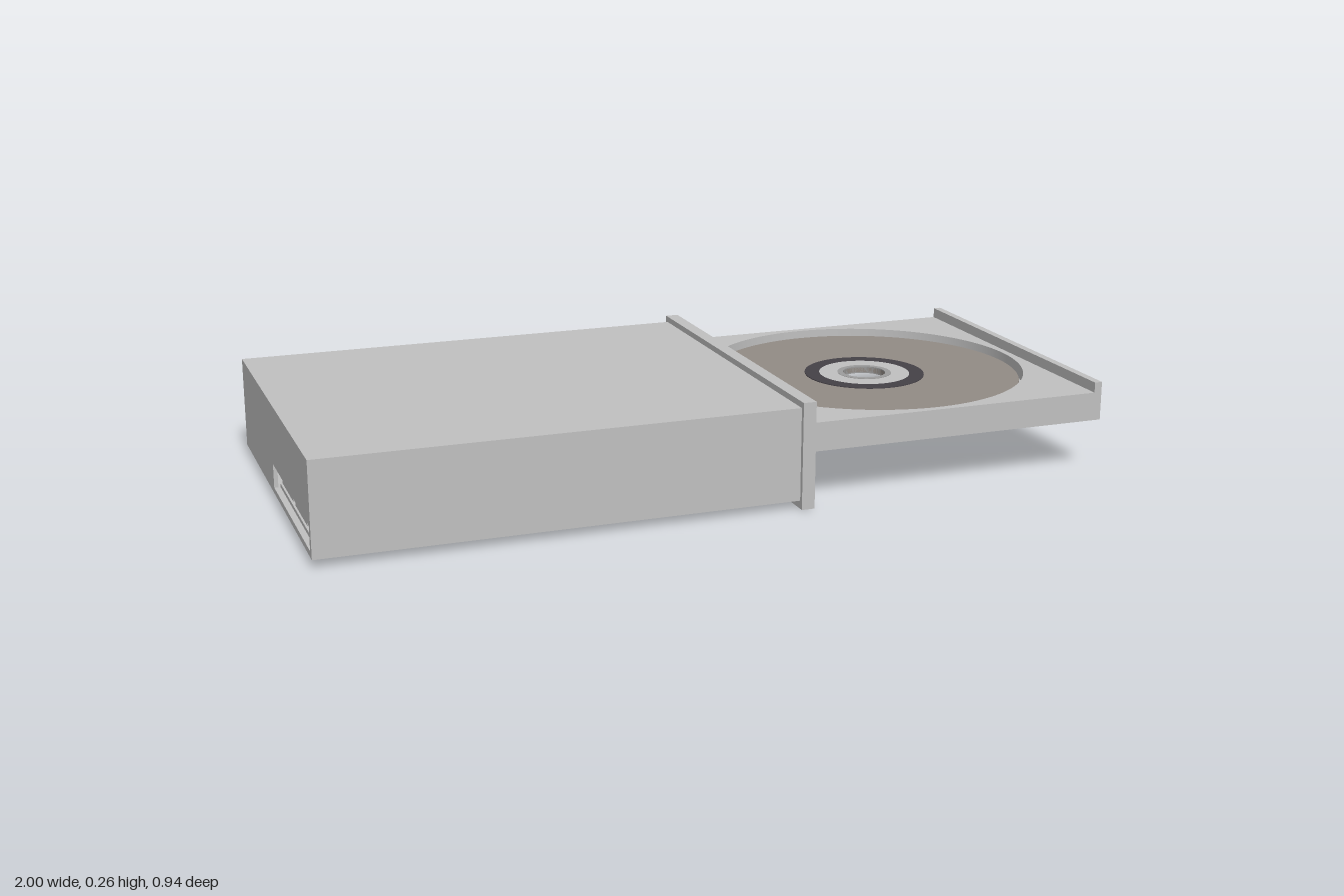
import * as THREE from 'three';
import { toCreasedNormals } from 'three/addons/utils/BufferGeometryUtils.js';

const mat = (name, color) => {
  const m = new THREE.MeshStandardMaterial({ color });
  m.name = name;
  return m;
};

// Rectangle outline, usable as a shape or a hole
function rect(x0, x1, y0, y1, Type = THREE.Shape) {
  const s = new Type();
  s.moveTo(x0, y0);
  s.lineTo(x1, y0);
  s.lineTo(x1, y1);
  s.lineTo(x0, y1);
  s.closePath();
  return s;
}

function circle(x, r, Type = THREE.Shape) {
  const s = new Type();
  s.absarc(x, 0, r, 0, Math.PI * 2, false);
  return s;
}

export function createModel() {
  const model = new THREE.Group();
  model.name = 'discDrive';
  const grey = mat('lightGrey', 0xc0c0c0);
  const discGrey = mat('discGrey', 0x928b85);
  const dark = mat('darkBand', 0x454147);
  const hubGrey = mat('hubGrey', 0x9c9c9c);

  const add = (name, geometry, material) => {
    const m = new THREE.Mesh(geometry, material);
    m.name = name;
    model.add(m);
    return m;
  };
  const box = (name, x0, x1, y0, y1, z0, z1, material = grey) => {
    const m = add(name, new THREE.BoxGeometry(x1 - x0, y1 - y0, z1 - z0), material);
    m.position.set((x0 + x1) / 2, (y0 + y1) / 2, (z0 + z1) / 2);
  };
  const extrude = (shape, depth) => new THREE.ExtrudeGeometry(shape, { depth, bevelEnabled: false, curveSegments: 64 });
  // Horizontal plate: shape drawn in (x, -z), thickness from y0 to y1
  const plateY = (name, shape, y0, y1, material = grey) => {
    const g = extrude(shape, y1 - y0).rotateX(-Math.PI / 2).translate(0, y0, 0);
    add(name, toCreasedNormals(g, 0.6), material);
  };
  // Upright plate: shape drawn in (-z, y), thickness from x0 to x1
  const plateX = (name, shape, x0, x1, material = grey) => {
    add(name, extrude(shape, x1 - x0).rotateY(Math.PI / 2).translate(x0, 0, 0), material);
  };

  // Case: hollow sleeve with a rear panel cut for the sockets
  const sleeve = rect(-0.457, 0.457, 0.02, 0.25);
  sleeve.holes.push(rect(-0.445, 0.445, 0.032, 0.238, THREE.Path));
  plateX('caseSleeve', sleeve, -0.99, 0.17);
  const back = rect(-0.457, 0.457, 0.02, 0.25);
  back.holes.push(rect(-0.44, 0.03, 0.035, 0.095, THREE.Path));
  plateX('rearPanel', back, -1, -0.99);

  // Sockets set back inside the rear opening
  box('socketBoard', -0.985, -0.8, 0.035, 0.045, -0.03, 0.44);
  box('socketBack', -0.93, -0.92, 0.035, 0.12, -0.05, 0.445);
  for (const [z0, z1] of [[-0.03, 0.12], [0.15, 0.3], [0.33, 0.44]]) {
    box('socket', -0.98, -0.92, 0.045, 0.065, z0, z1);
  }

  // Bezel with the tray opening, eject button and lamp
  const bezel = rect(-0.468, 0.468, 0, 0.265);
  bezel.holes.push(rect(-0.435, 0.435, 0.126, 0.23, THREE.Path));
  plateX('bezel', bezel, 0.167, 0.2);
  box('ejectButton', 0.19, 0.207, 0.05, 0.07, -0.41, -0.346);
  box('lamp', 0.195, 0.203, 0.056, 0.064, -0.264, -0.241);

  // Tray: recessed top, floor with pickup slot, hollow underside
  const cx = 0.55;
  const trayBack = 0.06;
  const top = rect(trayBack, 0.98, -0.432, 0.432);
  top.holes.push(circle(cx, 0.412, THREE.Path));
  plateY('trayTop', top, 0.165, 0.202);
  const floor = rect(trayBack, 0.98, -0.432, 0.432);
  const slot = new THREE.Path();
  slot.moveTo(0.12, -0.17);
  slot.lineTo(cx, -0.17);
  slot.absarc(cx, 0, 0.17, -Math.PI / 2, Math.PI / 2, false);
  slot.lineTo(0.12, 0.17);
  slot.closePath();
  floor.holes.push(slot);
  plateY('trayFloor', floor, 0.157, 0.165);
  for (const s of [-1, 1]) {
    const z = s * 0.422;
    box('traySideWall', trayBack, 0.98, 0.13, 0.157, z - 0.01, z + 0.01);
  }
  box('trayRearWall', trayBack, trayBack + 0.02, 0.13, 0.157, -0.412, 0.412);
  box('trayFront', 0.98, 1, 0.13, 0.228, -0.432, 0.432);

  // Disc with inner bands on both faces
  const ring = (name, r0, r1, y0, y1, material) => {
    const s = circle(cx, r1);
    s.holes.push(circle(cx, r0, THREE.Path));
    plateY(name, s, y0, y1, material);
  };
  ring('disc', 0.055, 0.402, 0.172, 0.184, discGrey);
  ring('darkBand', 0.118, 0.156, 0.17, 0.186, dark);
  ring('hubBand', 0.07, 0.118, 0.17, 0.186, grey);
  ring('hubRim', 0.055, 0.07, 0.169, 0.187, hubGrey);
  return model;
}
